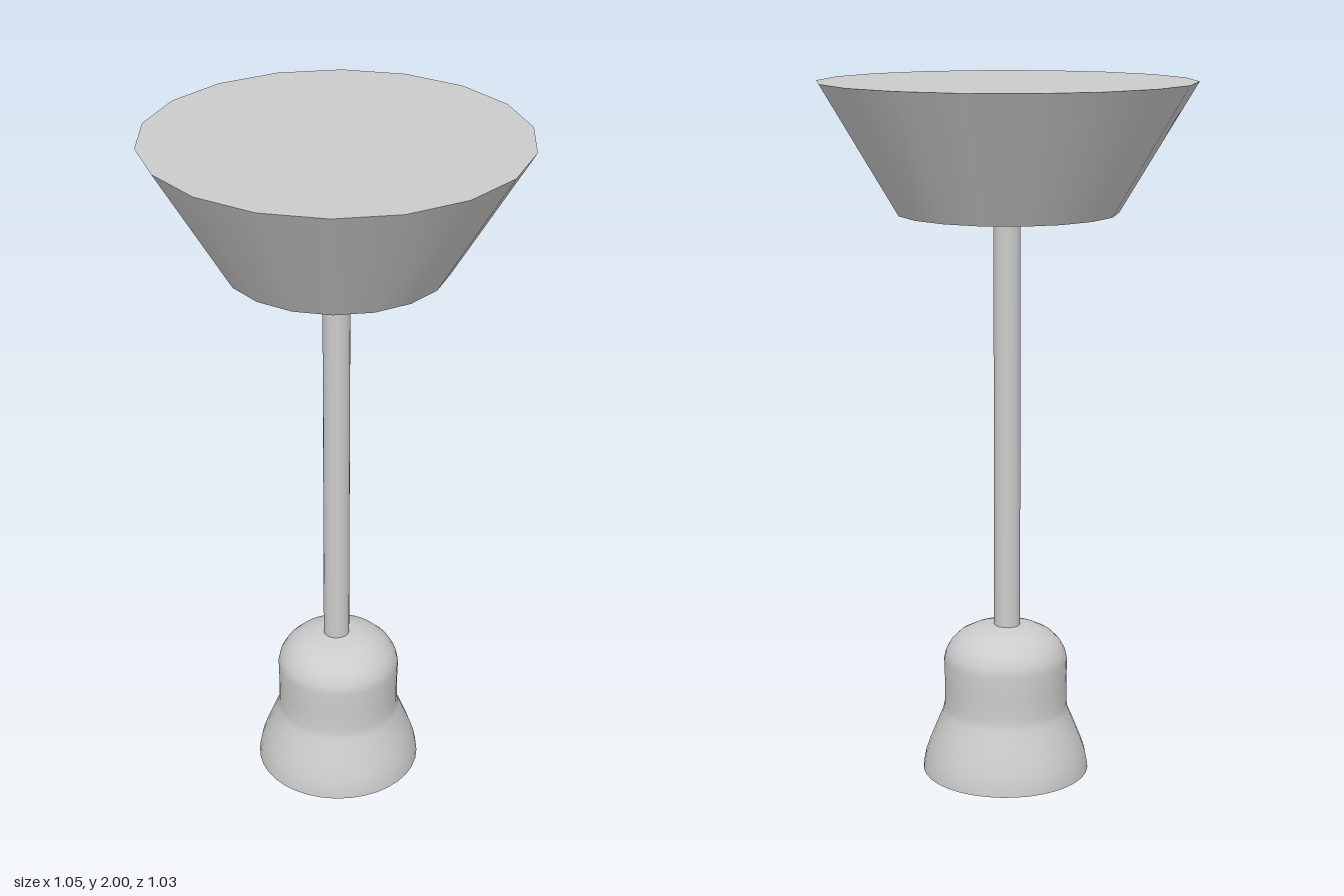
import * as THREE from 'three';

export function createModel() {
  const group = new THREE.Group();
  const grey = new THREE.MeshStandardMaterial({ color: 0xcccccc });
  const greyThin = new THREE.MeshStandardMaterial({ color: 0xcccccc, side: THREE.DoubleSide });

  const add = (name, geometry, material, x, y, z) => {
    const mesh = new THREE.Mesh(geometry, material);
    mesh.name = name;
    mesh.position.set(x, y, z);
    group.add(mesh);
  };

  // Ceiling canopy: 18-sided tapered cup with corners on the x axis
  const top = 2, bottom = 1.64;
  add('ceilingCanopy',
    new THREE.CylinderGeometry(0.525, 0.31, top - bottom, 18, 1, false, Math.PI / 2),
    grey, 0, (top + bottom) / 2, 0);

  // Straight rod between canopy and shade
  const rodBase = 0.43;
  add('rod', new THREE.CylinderGeometry(0.038, 0.038, bottom - rodBase, 24),
    grey, 0, (bottom + rodBase) / 2, 0);

  // Thin bell shade, open at the bottom
  const profile = [
    [0.242, 0], [0.24, 0.02], [0.234, 0.05], [0.222, 0.085], [0.2, 0.14], [0.184, 0.178],
    [0.179, 0.2], [0.178, 0.26], [0.18, 0.335], [0.174, 0.36], [0.16, 0.385],
    [0.135, 0.41], [0.1, 0.428], [0.06, 0.439], [0, 0.445],
  ].map(([r, y]) => new THREE.Vector2(r, y));
  add('bellShade', new THREE.LatheGeometry(profile, 36), greyThin, 0.002, 0, 0.005);

  return group;
}
